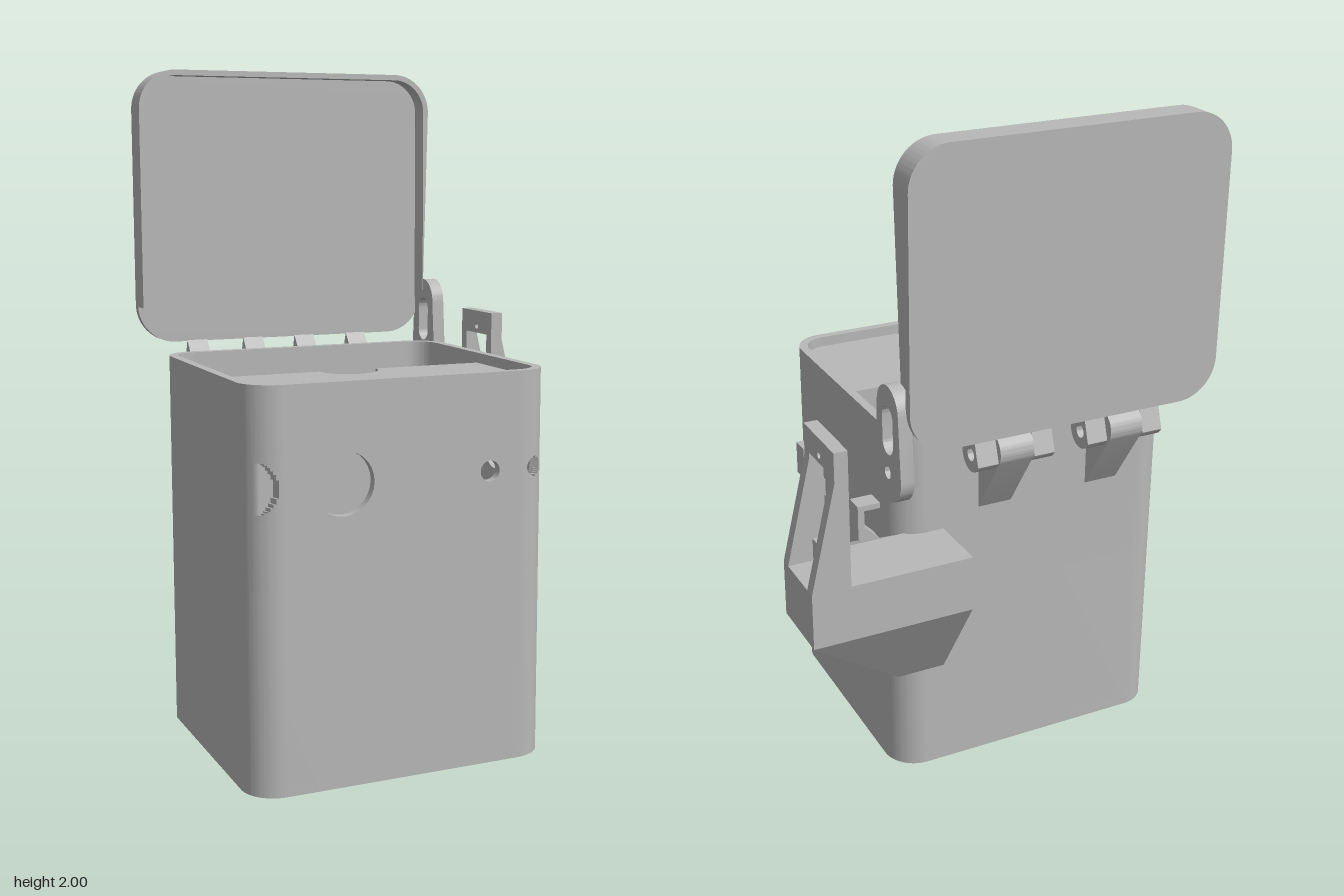
import * as THREE from 'three';
import { mergeGeometries, toCreasedNormals } from 'three/addons/utils/BufferGeometryUtils.js';
import { ConvexGeometry } from 'three/addons/geometries/ConvexGeometry.js';

const grey = new THREE.MeshStandardMaterial({ color: 0xb8b8b8 });
grey.name = 'grey plastic';

const X0 = -0.61, X1 = 0.305, Z0 = -0.31, Z1 = 0.5, R = 0.1, T = 0.027, TOP = 1.14;

// ---- shape helpers ----
const poly = (pts) => new THREE.Shape(pts.map(([a, b]) => new THREE.Vector2(a, b)));
const circle = (x, y, r) => new THREE.Path().absarc(x, y, r, 0, Math.PI * 2, true);

function roundRect(x0, y0, x1, y1, r, shape = new THREE.Shape()) {
  shape.absarc(x1 - r, y0 + r, r, -Math.PI / 2, 0);
  shape.absarc(x1 - r, y1 - r, r, 0, Math.PI / 2);
  shape.absarc(x0 + r, y1 - r, r, Math.PI / 2, Math.PI);
  shape.absarc(x0 + r, y0 + r, r, Math.PI, Math.PI * 1.5);
  shape.closePath();
  return shape;
}

// ---- extrusion helpers: along z, along y (shape in x,z) and along x (shape in z,y) ----
const extrude = (shape, depth) =>
  toCreasedNormals(new THREE.ExtrudeGeometry(shape, { depth, bevelEnabled: false, curveSegments: 14 }), 0.5);
const alongZ = (shape, z0, z1) => extrude(shape, z1 - z0).translate(0, 0, z0);
const alongY = (shape, y0, y1) => extrude(shape, y1 - y0).rotateX(Math.PI / 2).translate(0, y1, 0);
const alongX = (shape, x0, x1) => extrude(shape, x1 - x0).rotateY(-Math.PI / 2).translate(x1, 0, 0);
const box = (x0, x1, y0, y1, z0, z1) =>
  new THREE.BoxGeometry(x1 - x0, y1 - y0, z1 - z0).translate((x0 + x1) / 2, (y0 + y1) / 2, (z0 + z1) / 2);

// Curved corner wall; sx, sz pick the corner, clip reshapes outer points
function cornerShape(sx, sz, a0 = 0, a1 = Math.PI / 2, clip = (p) => p) {
  const cx = sx > 0 ? X1 - R : X0 + R, cz = sz > 0 ? Z1 - R : Z0 + R, n = 20, pts = [];
  const at = (r, i) => {
    const a = a0 + ((a1 - a0) * i) / n;
    return [cx + sx * r * Math.sin(a), cz + sz * r * Math.cos(a)];
  };
  for (let i = 0; i <= n; i++) pts.push(clip(at(R, i)));
  for (let i = n; i >= 0; i--) pts.push(at(R - T, i));
  return poly(pts);
}

export function createModel() {
  const model = new THREE.Group();
  const group = (name) => {
    const g = new THREE.Group();
    g.name = name;
    model.add(g);
    return g;
  };
  const add = (parent, name, geo) => {
    const m = new THREE.Mesh(geo, grey);
    m.name = name;
    parent.add(m);
  };

  // ---- container: floor, plain rings and a pierced middle band ----
  const body = group('container');
  const B0 = 0.58, B1 = 0.95, H = 0.86;
  const outline = () => roundRect(X0, Z0, X1, Z1, R);
  const ring = outline();
  ring.holes.push(roundRect(X0 + T, Z0 + T, X1 - T, Z1 - T, R - T, new THREE.Path()));
  add(body, 'floor', alongY(outline(), 0, 0.03));
  add(body, 'lowerWall', alongY(ring, 0.03, B0));
  add(body, 'upperWall', alongY(ring, B1, TOP));

  const front = poly([[X0 + R, B0], [X1 - R, B0], [X1 - R, B1], [X0 + R, B1]]);
  front.holes.push(circle(-0.34, H, 0.09), circle(0.105, H, 0.03));
  add(body, 'frontPanel', alongZ(front, Z1 - T, Z1));

  const side = poly([[Z0 + R, B0], [Z1 - R, B0], [Z1 - R, B1], [Z0 + R, B1]]);
  side.holes.push(circle(0.33, H, 0.04), circle(0.2, H, 0.06),
    roundRect(0.255, 0.6, 0.4, 0.73, 0.035, new THREE.Path()));
  add(body, 'sidePanel', alongX(side, X1 - T, X1));
  add(body, 'plainSidePanel', box(X0, X0 + T, B0, B1, Z0 + R, Z1 - R));
  add(body, 'backPanel', box(X0 + R, X1 - R, B0, B1, Z0, Z0 + T));
  for (const sx of [-1, 1]) {
    add(body, 'backCorner', alongY(cornerShape(sx, -1), B0, B1));
    add(body, 'frontCorner', alongY(cornerShape(sx, 1), B0, 0.77));
  }

  // Front corners in thin slices: a small hole on one, a shallow round pocket on the other
  const slices = [], n = 36, step = (B1 - 0.77) / n;
  for (let i = 0; i < n; i++) {
    const y = 0.77 + i * step, d = Math.abs(y + step / 2 - H);
    const put = (s) => slices.push(alongY(s, y, y + step));
    if (d < 0.028) {
      const w = Math.sqrt(0.028 ** 2 - d * d);
      const ang = (x) => Math.asin((x - (X1 - R)) / R);
      put(cornerShape(1, 1, 0, ang(0.2525 - w)));
      put(cornerShape(1, 1, ang(0.2525 + w)));
    } else put(cornerShape(1, 1));
    const reach = d < 0.08 ? X0 + Math.sqrt(0.0064 - d * d) : -9;
    put(cornerShape(-1, 1, 0, Math.PI / 2, ([x, z]) => (x < reach ? [x, Math.min(z, Z1 - T)] : [x, z])));
  }
  add(body, 'piercedCorners', mergeGeometries(slices));

  // ---- inner tray cover with finger notch, and the divider below it ----
  const cover = new THREE.Shape();
  const cx0 = X0 + T + 0.003, cx1 = X1 - T - 0.003, cz = Z1 - T - 0.003, cr = 0.07;
  cover.moveTo(cx0, 0.085);
  cover.lineTo(-0.245, 0.085);
  cover.absarc(-0.155, 0.085, 0.09, Math.PI, 0, true);
  cover.lineTo(cx1, 0.085);
  cover.absarc(cx1 - cr, cz - cr, cr, 0, Math.PI / 2);
  cover.absarc(cx0 + cr, cz - cr, cr, Math.PI / 2, Math.PI);
  cover.closePath();
  add(body, 'trayCover', alongY(cover, 1.085, 1.11));
  add(body, 'divider', box(X0 + T, X1 - T, 0.03, 1.085, 0.085, 0.105));

  // ---- lid: back plate with a rim open at the bottom ----
  const lid = group('lid');
  add(lid, 'lidPlate', alongZ(roundRect(-0.64, 1.155, 0.335, 2, 0.12), -0.488, -0.46));
  const rim = new THREE.Shape(), w = 0.017, lr = 0.12;
  rim.moveTo(0.335, 1.27);
  rim.absarc(0.335 - lr, 2 - lr, lr, 0, Math.PI / 2);
  rim.absarc(-0.64 + lr, 2 - lr, lr, Math.PI / 2, Math.PI);
  rim.lineTo(-0.64, 1.27);
  rim.lineTo(-0.64 + w, 1.27);
  rim.absarc(-0.64 + lr, 2 - lr, lr - w, Math.PI, Math.PI / 2, true);
  rim.absarc(0.335 - lr, 2 - lr, lr - w, Math.PI / 2, 0, true);
  rim.lineTo(0.335 - w, 1.27);
  add(lid, 'lidRim', alongZ(rim, -0.462, -0.397));

  // ---- hinges: lid knuckles and container arms on one axis ----
  const hinge = group('hinges');
  const az = -0.392, ay = 1.075;
  const knuckle = new THREE.Shape();
  knuckle.moveTo(-0.485, 1.165);
  knuckle.absarc(az, ay, 0.052, Math.PI * 1.15, Math.PI * 2.15);
  knuckle.lineTo(-0.4, 1.165);
  knuckle.holes.push(circle(az, ay, 0.02));
  for (const x of [-0.5, -0.315, -0.14, 0.04]) add(hinge, 'lidKnuckle', alongX(knuckle, x, x + 0.065));
  const arm = new THREE.Shape();
  arm.moveTo(-0.3, 0.84);
  arm.lineTo(-0.3, ay + 0.052);
  arm.absarc(az, ay, 0.052, Math.PI / 2, Math.PI * 1.187);
  arm.holes.push(circle(az, ay, 0.02));
  for (const x of [-0.43, -0.07]) add(hinge, 'hingeArm', alongX(arm, x, x + 0.107));

  // ---- slotted lever at the end of the hinge axis ----
  const lever = new THREE.Shape();
  lever.absarc(-0.395, 1.075, 0.085, Math.PI, Math.PI * 2);
  lever.absarc(-0.395, 1.263, 0.07, 0, Math.PI);
  lever.closePath();
  const slot = new THREE.Path();
  slot.absarc(-0.395, 1.165, 0.035, Math.PI, Math.PI * 2);
  slot.absarc(-0.395, 1.237, 0.035, 0, Math.PI);
  slot.closePath();
  lever.holes.push(slot, circle(az, ay, 0.02));
  add(model, 'lever', alongX(lever, 0.32, 0.36));

  // ---- side bracket: tapered block wrapping the back corner ----
  const bracket = group('sideBracket');
  const hull = (pts) => toCreasedNormals(new ConvexGeometry(pts.map((p) => new THREE.Vector3(...p))), 0.1);
  add(bracket, 'bracketBlock', hull([
    [0.3, 0.64, 0.02], [0.3, 0.34, 0.02], [0.3, 0.34, -0.31], [0.3, 0.81, -0.285], [0.3, 0.81, -0.5],
    [0.3, 0.64, -0.5], [0.635, 0.81, -0.285], [0.635, 0.81, -0.5], [0.635, 0.64, -0.285], [0.635, 0.64, -0.5],
  ]));
  add(bracket, 'bracketBack', alongX(
    poly([[-0.286, 0.34], [-0.286, 0.81], [-0.5, 0.81], [-0.5, 0.64], [-0.31, 0.34]]), 0.15, 0.3));

  // Upright with a window, screw holes and two gussets
  const post = poly([[-0.5, 0.81], [-0.285, 0.81], [-0.285, 1.22], [-0.5, 1.22]]);
  post.holes.push(
    new THREE.Path([[-0.465, 0.88], [-0.32, 0.88], [-0.32, 1.145], [-0.465, 1.145]].map((p) => new THREE.Vector2(...p))),
    circle(az, 1.168, 0.01), circle(az, 0.862, 0.01));
  add(bracket, 'upright', alongX(post, 0.52, 0.56));
  const gusset = poly([[0.55, 0.81], [0.635, 0.81], [0.56, 1.13], [0.55, 1.13]]);
  for (const z of [-0.5, -0.32]) add(bracket, 'gusset', alongZ(gusset, z, z + 0.035));

  // ---- cable hooks on the side wall ----
  const hook = poly([[0.29, 0.88], [0.375, 0.88], [0.375, 0.775], [0.29, 0.685],
    [0.29, 0.745], [0.355, 0.81], [0.355, 0.863], [0.29, 0.863]]);
  for (const z of [0.23, -0.205]) add(model, 'hook', alongZ(hook, z, z + 0.06));

  return model;
}
